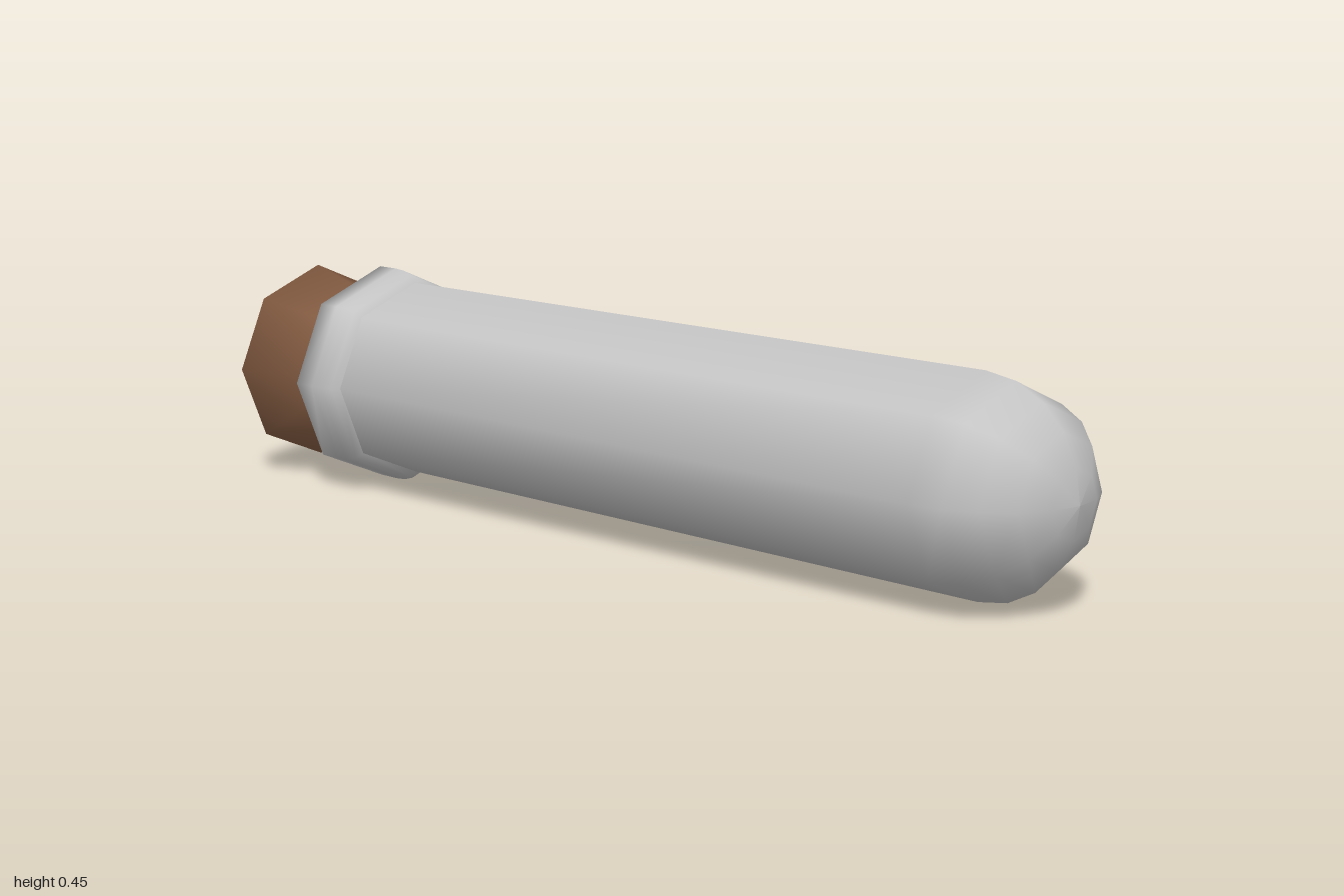
import * as THREE from 'three';

const SIDES = 8;

// Smooth eight-sided lathe from [radius, distance from the tip] pairs
function turned(name, profile, material) {
  const points = profile.map(([r, d]) => new THREE.Vector2(r, d));
  const mesh = new THREE.Mesh(new THREE.LatheGeometry(points, SIDES), material);
  mesh.name = name;
  return mesh;
}

export function createModel() {
  const glass = new THREE.MeshStandardMaterial({ color: 0xc6c6c6 });
  glass.name = 'pale grey glass';
  const cork = new THREE.MeshStandardMaterial({ color: 0x8a6045 });
  cork.name = 'brown cork';

  // Rounded bottom, as a quarter circle, then the straight wall
  const R = 0.2;
  const wall = [];
  for (let i = 0; i <= 5; i++) {
    const a = (i / 5) * Math.PI / 2;
    wall.push([R * Math.sin(a), R * (1 - Math.cos(a))]);
  }
  wall.push([R, 1.68]);

  // Flared lip, closed by a flat ring around the stopper
  const lip = [[0.198, 1.672], [0.215, 1.685], [0.222, 1.71], [0.224, 1.735], [0.224, 1.785], [0.14, 1.785]];

  // Tapered stopper, wider at its outer end
  const stopper = [[0, 1.74], [0.14, 1.74], [0.207, 1.996], [0, 1.996]];

  const tube = new THREE.Group();
  tube.name = 'stopperedTube';
  tube.add(
    turned('tubeWall', wall, glass),
    turned('tubeLip', lip, glass),
    turned('stopper', stopper, cork),
  );

  // Lay the tube down, its lip raising the back end slightly
  tube.rotation.x = -(Math.PI / 2 - 0.0145);
  tube.position.set(0, 0.203, 0.999);

  const model = new THREE.Group();
  model.name = 'testTube';
  model.add(tube);
  return model;
}
